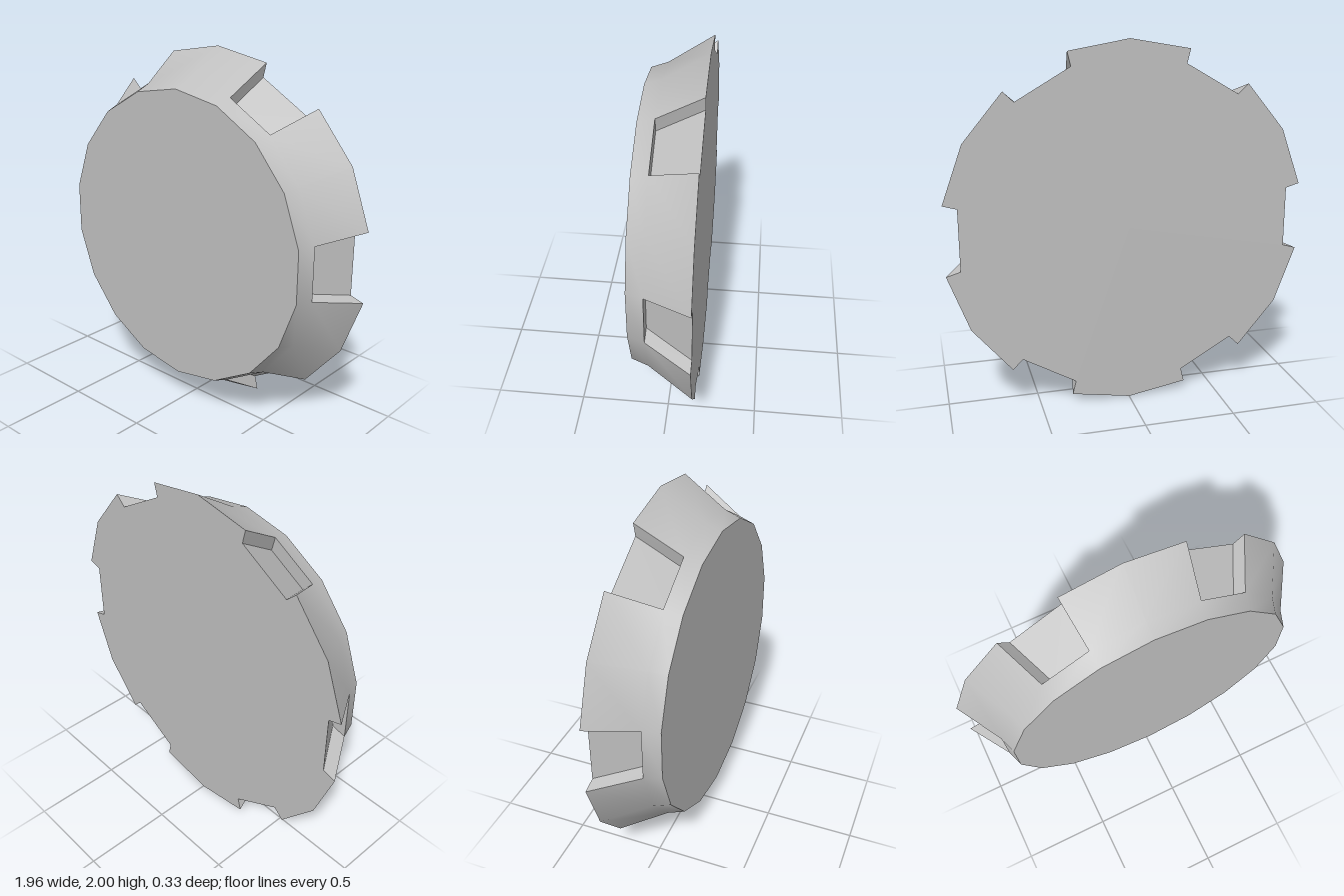
import * as THREE from 'three';
import { toCreasedNormals } from 'three/addons/utils/BufferGeometryUtils.js';

const FRONT = 0.165, SHOULDER = 0.075, BACK = -0.165;

// Point at an angle (degrees) and radius around the hub, at depth z
function polar(deg, r, z) {
  const a = THREE.MathUtils.degToRad(deg);
  return [r * Math.cos(a), 1 + r * Math.sin(a), z];
}

// Collects faces and turns them into a mesh
class Surface {
  positions = [];
  tri(a, b, c) { this.positions.push(...a, ...b, ...c); }
  quad(a, b, c, d) { this.tri(a, b, c); this.tri(a, c, d); }
  mesh(name, material) {
    const g = new THREE.BufferGeometry();
    g.setAttribute('position', new THREE.Float32BufferAttribute(this.positions, 3));
    g.computeVertexNormals();
    const mesh = new THREE.Mesh(toCreasedNormals(g, 0.6), material);
    mesh.name = name;
    return mesh;
  }
}

export function createModel() {
  const grey = new THREE.MeshStandardMaterial({ color: 0xc0c0c0 });
  grey.name = 'grey';

  const rim = new Surface(), notches = new Surface();
  const frontFace = new Surface(), backFace = new Surface();
  const frontCentre = [0, 1, FRONT], backCentre = [0, 1, BACK];

  const face = d => polar(d, 0.815, FRONT);
  const shoulder = d => polar(d, 0.846, SHOULDER);
  const floorFront = d => polar(d, 0.763, SHOULDER);
  const floorBack = d => polar(d, 0.92, BACK);

  for (let k = 0; k < 6; k++) {
    const mid = 30 + 60 * k;      // middle of a tooth
    const notch = mid + 30;       // middle of the notch after it

    // Front bevel and front face
    for (let a = mid - 20; a < mid + 40; a += 20) {
      rim.quad(shoulder(a), shoulder(a + 20), face(a + 20), face(a));
      frontFace.tri(frontCentre, face(a), face(a + 20));
    }

    // Flared tooth
    const t0 = polar(mid - 19.05, 0.998, BACK);
    const t1 = polar(mid, 1, BACK);
    const t2 = polar(mid + 19.05, 0.998, BACK);
    const t3 = polar(mid + 40.95, 0.998, BACK); // start of the next tooth
    rim.quad(t0, t1, shoulder(mid), shoulder(mid - 20));
    rim.quad(t1, t2, shoulder(mid + 20), shoulder(mid));

    // Notch: floor, two walls and the step at its front end
    const f0 = floorFront(notch - 9.45), f1 = floorFront(notch + 9.45);
    const b0 = floorBack(notch - 10.5), b1 = floorBack(notch + 10.5);
    const s0 = shoulder(notch - 10), s1 = shoulder(notch + 10);
    notches.quad(b0, b1, f1, f0);
    notches.quad(b0, f0, s0, t2);
    notches.quad(t3, s1, f1, b1);
    notches.quad(f0, f1, s1, s0);

    // Back face follows the toothed outline
    const outline = [t0, t1, t2, b0, b1, t3];
    for (let i = 0; i < 5; i++) backFace.tri(backCentre, outline[i + 1], outline[i]);
  }

  const group = new THREE.Group();
  group.name = 'notchedCap';
  group.add(
    rim.mesh('rim', grey),
    notches.mesh('notches', grey),
    frontFace.mesh('frontFace', grey),
    backFace.mesh('backFace', grey)
  );
  return group;
}
